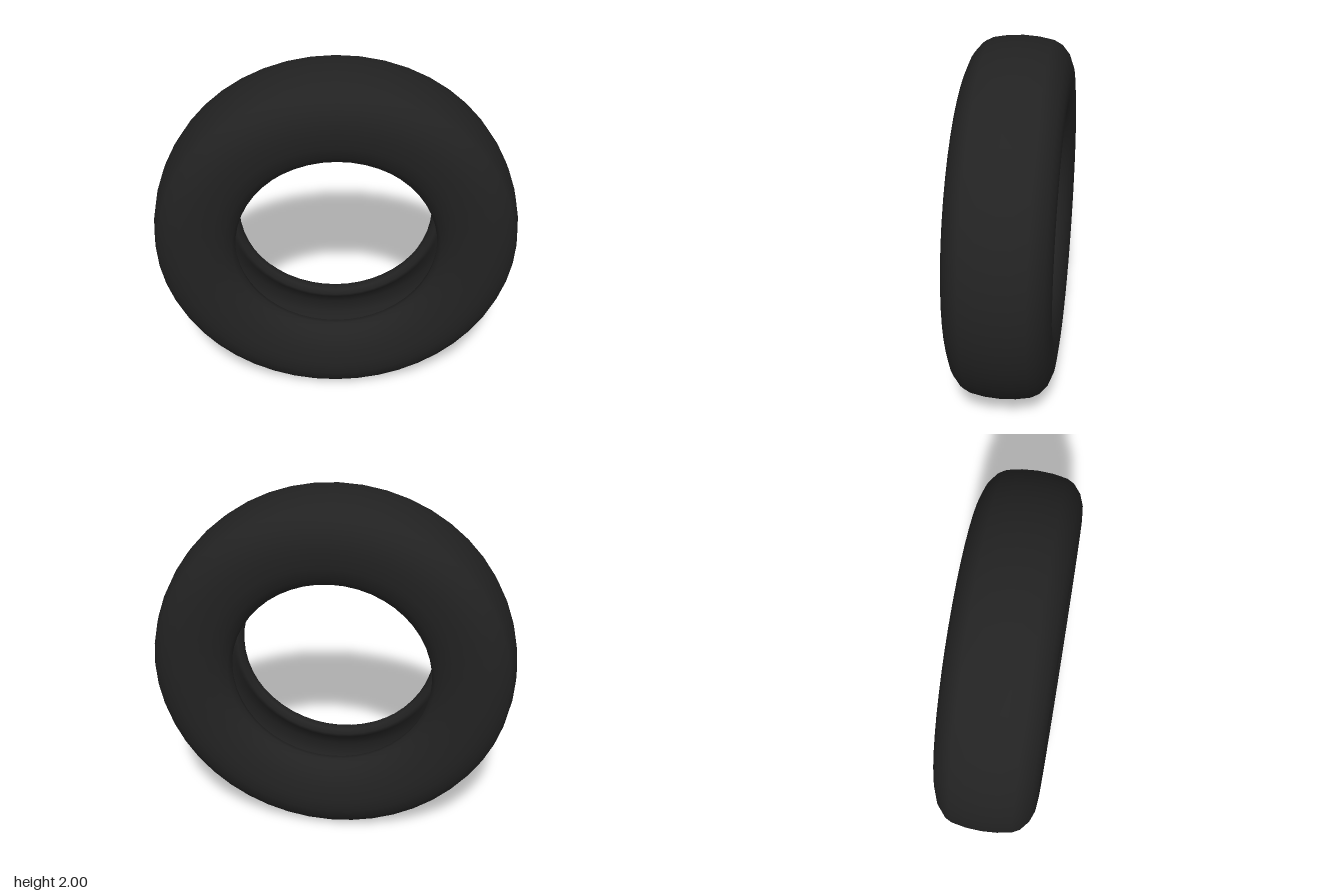
import * as THREE from 'three';

export function createModel() {
  const model = new THREE.Group();
  model.name = 'tyre';

  const rubber = new THREE.MeshStandardMaterial({ color: 0x222222 });
  rubber.name = 'black rubber';

  // Half cross-section as [radius, half width]: inner liner, bead, sidewall, tread
  const half = [
    [0.945, 0], [0.935, 0.09], [0.89, 0.18], [0.8, 0.225], [0.71, 0.22],
    [0.635, 0.175], [0.605, 0.135], [0.575, 0.12], [0.552, 0.137], [0.547, 0.17],
    [0.565, 0.205], [0.61, 0.24], [0.68, 0.265], [0.78, 0.275], [0.85, 0.268],
    [0.91, 0.245], [0.96, 0.203], [0.98, 0.165], [0.995, 0.085], [1, 0],
  ];
  // Mirror the half into a closed loop, seam hidden on the inner liner
  const profile = [
    ...half.map(([r, w]) => new THREE.Vector2(r, -w)),
    ...half.slice(0, -1).reverse().map(([r, w]) => new THREE.Vector2(r, w)),
  ];

  // Hollow tyre body, turned so the axle runs along z
  const geometry = new THREE.LatheGeometry(profile, 48);
  geometry.rotateX(Math.PI / 2);
  const body = new THREE.Mesh(geometry, rubber);
  body.name = 'tyreBody';
  body.position.y = 1;
  model.add(body);

  return model;
}
